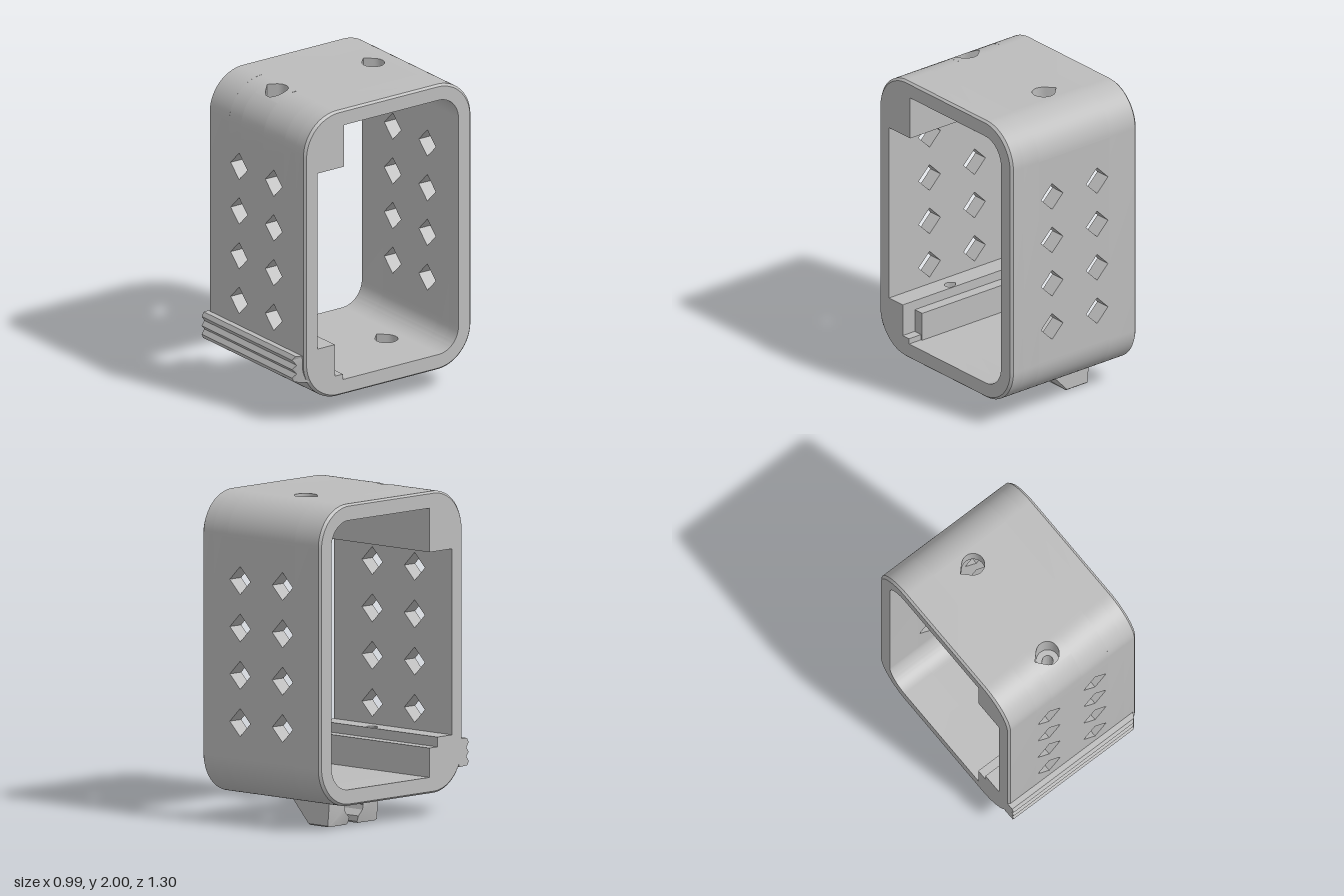
import * as THREE from 'three';
import { toCreasedNormals } from 'three/addons/utils/BufferGeometryUtils.js';

const grey = new THREE.MeshStandardMaterial({ color: 0xbcbcbc });
grey.name = 'grey plastic';

const MID = 0.28;              // half width of the perforated middle section
const END = 0.495;             // half width of the whole frame
const HOLE_Z = 0.42;

function part(name, geo, crease = 0.5) {
  const mesh = new THREE.Mesh(toCreasedNormals(geo, crease), grey);
  mesh.name = name;
  return mesh;
}

const poly = (pts) => new THREE.Shape(pts.map(([x, y]) => new THREE.Vector2(x, y)));

// Extrude a side profile, drawn as (-z, y), along x. The rule may move vertices first.
function alongX(name, shape, x0, x1, rule, steps = 1) {
  const geo = new THREE.ExtrudeGeometry(shape, { depth: x1 - x0, steps, bevelEnabled: false, curveSegments: 12 });
  if (rule) {
    const p = geo.attributes.position, v = new THREE.Vector3();
    for (let i = 0; i < p.count; i++) {
      rule(v.fromBufferAttribute(p, i));
      p.setXYZ(i, v.x, v.y, v.z);
    }
  }
  geo.rotateY(Math.PI / 2).translate(x0, 0, 0);
  return part(name, geo);
}

// Teardrop outline with a square tip towards -x (tip = -1) or +x (tip = 1)
function teardropPoint(r, t, tip) {
  const a = tip < 0 ? Math.abs(Math.PI - t) : Math.min(t, 2 * Math.PI - t);
  const d = a < Math.PI / 4 ? r / Math.cos(Math.PI / 4 - a) : r;
  return [d * Math.cos(t), d * Math.sin(t)];
}

// Full side outline of the frame with its opening, screw block and ledge bar
function frameShape(ledge) {
  const s = new THREE.Shape();
  const H = Math.PI / 2;
  s.absarc(0.40, 1.75, 0.25, 0, H, false);
  s.absarc(-0.355, 1.75, 0.25, H, 2 * H, false);
  s.absarc(-0.355, 0.40, 0.25, 2 * H, 3 * H, false);
  s.absarc(0.40, 0.40, 0.25, 3 * H, 4 * H, false);
  const h = new THREE.Path();
  h.moveTo(-0.31, 1.90);
  h.lineTo(0.40, 1.90);
  h.absarc(0.40, 1.75, 0.15, H, 0, true);
  h.absarc(0.40, 0.40, 0.15, 0, -H, true);
  const foot = ledge
    ? [[-0.31, 0.25], [-0.31, 0.43], [-0.38, 0.43]]
    : [[-0.32, 0.25], [-0.32, 0.285], [-0.38, 0.285]];
  for (const [u, y] of [...foot, [-0.38, 0.49], [-0.51, 0.49], [-0.51, 1.63], [-0.31, 1.63]]) h.lineTo(u, y);
  s.holes.push(h);
  return s;
}

// End ring whose outer rim alone is slightly chamfered
function endRing(name, x0, x1, ledge) {
  const depth = x1 - x0, right = x1 > 0;
  return alongX(name, frameShape(ledge), x0, x1, (v) => {
    if (Math.abs(v.z - depth / 2) < 0.001) {
      v.z = right ? depth - 0.015 : 0.015;
      return;
    }
    const atEnd = right ? v.z > depth * 0.9 : v.z < depth * 0.1;
    const qu = Math.max(0, Math.abs(v.x - 0.0225) - 0.3775);
    const qy = Math.max(0, Math.abs(v.y - 1.075) - 0.675);
    if (atEnd && Math.hypot(qu, qy) > 0.24) {
      v.x = 0.0225 + (v.x - 0.0225) * 0.98;
      v.y = 1.075 + (v.y - 1.075) * 0.987;
    }
  }, 2);
}

// Flat wall with two columns of diamond holes
function diamondWall(name, y0, y1, z, depth) {
  const s = poly([[-MID, y0], [MID, y0], [MID, y1], [-MID, y1]]);
  for (const x of [-0.18, 0.175]) for (let i = 0; i < 4; i++) {
    const y = 0.62 + i * 0.29, r = 0.086;
    s.holes.push(poly([[x - r, y], [x, y - r], [x + r, y], [x, y + r]]));
  }
  const geo = new THREE.ExtrudeGeometry(s, { depth, bevelEnabled: false });
  return part(name, geo.translate(0, 0, z));
}

// Height of the rounded front corner
const cornerY = (z) => (z <= 0.355 ? 2 : 1.75 + Math.sqrt(Math.max(0, 0.0625 - (z - 0.355) ** 2)));

// Corner profile between two z limits, closed by the given inner points (z, y)
function cornerSlice(a, b, inner) {
  const zs = [a];
  for (let i = 0; i <= 12; i++) {
    const z = 0.355 + 0.25 * Math.sin((i / 12) * Math.PI / 2);
    if (z > a + 0.001 && z < b - 0.001) zs.push(z);
  }
  zs.push(b);
  return poly([...zs.map((z) => [-z, cornerY(z)]), ...inner.map(([z, y]) => [-z, y])]);
}

// Stepped teardrop screw hole, lofted through rings from the outside to the inside
function screwHole(holeX, tip, innerY, ledgeY) {
  const N = 32;
  const square = (t) => {
    const c = Math.cos(t), s = Math.sin(t), m = Math.max(Math.abs(c), Math.abs(s));
    return [0.115 * c / m, 0.08 * s / m];
  };
  const big = (t) => teardropPoint(0.07, t, tip);
  const small = (t) => teardropPoint(0.033, t, tip);
  const clamped = (t) => { const [x, z] = square(t); return [x, Math.max(z, -0.04)]; };
  const mix = (k) => (t) => {
    const p = square(t), q = big(t);
    return [p[0] + (q[0] - p[0]) * k, p[1] + (q[1] - p[1]) * k];
  };
  const rings = [
    [square, cornerY], [mix(0.5), cornerY], [big, cornerY],
    [big, () => 1.85], [small, () => 1.85], [small, () => innerY],
    [clamped, () => innerY], [clamped, () => ledgeY], [square, () => ledgeY],
  ];
  const pos = [], idx = [];
  rings.forEach(([outline, height], r) => {
    for (let i = 0; i <= N; i++) {
      const [x, z] = outline((i % N) / N * Math.PI * 2);
      pos.push(holeX + x, height(HOLE_Z + z), HOLE_Z + z);
      if (r < rings.length - 1 && i < N) {
        const a = r * (N + 1) + i, b = a + 1, d = a + N + 1, c = d + 1;
        idx.push(a, d, b, b, d, c);
      }
    }
  });
  const geo = new THREE.BufferGeometry();
  geo.setAttribute('position', new THREE.Float32BufferAttribute(pos, 3));
  geo.setIndex(idx);
  return part('screwHole', geo, 0.6);
}

// Middle section of the top; turned half round about z it is also the bottom
function cap(name, holeX, tip, innerY, ledgeY) {
  const g = new THREE.Group();
  g.name = name;

  // Flat panel with a teardrop hole near the back
  const panel = poly([[-MID, -0.31], [MID, -0.31], [MID, 0.40], [-MID, 0.40]]);
  const drop = [];
  for (let i = 0; i < 24; i++) {
    const [x, z] = teardropPoint(0.07, (i / 24) * Math.PI * 2, tip);
    drop.push([holeX + x, 0.305 + z]);
  }
  panel.holes.push(poly(drop));
  const geo = new THREE.ExtrudeGeometry(panel, { depth: 0.10, bevelEnabled: false });
  g.add(part('panel', geo.rotateX(-Math.PI / 2).translate(0, 1.90, 0)));

  // Rounded back corner
  const s = new THREE.Shape();
  s.absarc(0.40, 1.75, 0.25, Math.PI / 2, 0, true);
  s.absarc(0.40, 1.75, 0.15, 0, Math.PI / 2, false);
  g.add(alongX('backCorner', s, -MID, MID));

  // Solid front corner around the screw hole
  const x0 = holeX - 0.115, x1 = holeX + 0.115;
  const full = cornerSlice(0.31, 0.605, [[0.605, innerY], [0.38, innerY], [0.38, ledgeY], [0.31, ledgeY]]);
  g.add(alongX('frontCorner', full, -MID, x0));
  g.add(alongX('frontCorner', full, x1, MID));
  g.add(alongX('frontCornerEdge', cornerSlice(0.50, 0.605, [[0.605, innerY], [0.50, innerY]]), x0, x1));
  g.add(alongX('frontCornerBack', cornerSlice(0.31, 0.34, [[0.34, ledgeY], [0.31, ledgeY]]), x0, x1));
  g.add(screwHole(holeX, tip, innerY, ledgeY));
  return g;
}

export function createModel() {
  const model = new THREE.Group();
  model.name = 'frameHousing';

  // Ends of the frame; the ledge stops short at the left end
  model.add(endRing('rightEndRing', -END, -MID, true));
  model.add(alongX('leftInnerRing', frameShape(true), MID, 0.40));
  model.add(endRing('leftEndRing', 0.40, END, false));

  // Perforated walls
  model.add(diamondWall('frontWall', 0.49, 1.63, 0.51, 0.095));
  model.add(diamondWall('backWall', 0.40, 1.75, -0.65, 0.10));

  // Top and bottom; all teardrops point to the model's right
  model.add(cap('top', -0.045, -1, 1.63, 1.63));
  const bottom = cap('bottom', -0.09, 1, 1.66, 1.72);
  bottom.rotation.z = Math.PI;
  bottom.position.y = 2.15;
  model.add(bottom);

  // Ribbed grip across the lower front, chamfered at one end
  const ribs = poly([[-0.57, 0.46], [-0.64, 0.457], [-0.655, 0.43], [-0.635, 0.40], [-0.655, 0.37],
    [-0.635, 0.345], [-0.655, 0.315], [-0.645, 0.29], [-0.57, 0.285]]);
  model.add(alongX('gripRibs', ribs, -END, 0.49, (v) => {
    if (v.z > 0.5) v.z -= Math.max(0, -v.x - 0.605) * 1.2;
  }));

  // Two clip jaws below, with sloping ends and a rounded throat between them
  const jaw = [[-0.035, 0.16], [-0.035, 0.008], [-0.025, 0], [0.13, 0], [0.14, 0.01], [0.14, 0.045],
    [0.105, 0.08], [0.097, 0.11], [0.107, 0.135], [0.135, 0.16]];
  for (const [name, flip] of [['frontJaw', false], ['backJaw', true]]) {
    const shape = poly(jaw.map(([u, y]) => [flip ? 0.36 - u : u, y]));
    model.add(alongX(name, shape, -0.33, -0.155, (v) => {
      if (v.z > 0.1) v.z += Math.max(0, v.y - 0.01) * 0.95;
      else v.z += Math.max(0, 0.03 - v.y) * 0.6;
    }));
  }
  return model;
}
